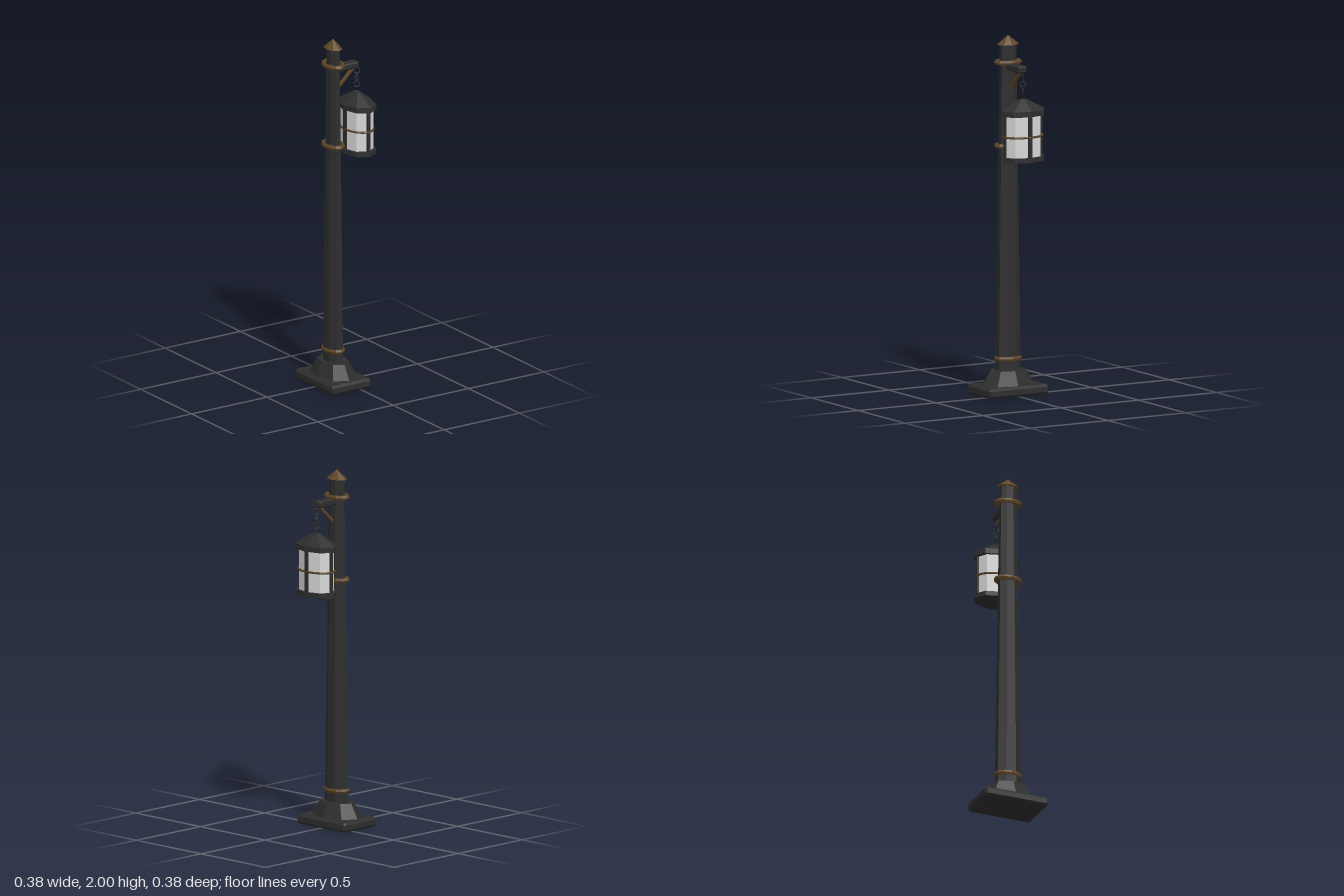
import * as THREE from 'three';
import { ConvexGeometry } from 'three/addons/geometries/ConvexGeometry.js';

const material = (name, color) => {
  const m = new THREE.MeshStandardMaterial({ color, flatShading: true });
  m.name = name;
  return m;
};

// Box with chamfered edges and corners
function chamferBox(w, h, d, b) {
  const pts = [];
  for (const x of [-1, 1]) for (const y of [-1, 1]) for (const z of [-1, 1]) {
    for (const k of [0, 1, 2]) {
      pts.push(new THREE.Vector3(
        x * (w / 2 - (k === 0 ? 0 : b)),
        y * (h / 2 - (k === 1 ? 0 : b)),
        z * (d / 2 - (k === 2 ? 0 : b))));
    }
  }
  return new ConvexGeometry(pts);
}

export function createModel() {
  const iron = material('dark iron', 0x2e2e2e);
  const brass = material('aged brass', 0x5e4626);
  const glass = material('frosted glass', 0xd8d8d8);
  const root = new THREE.Group();
  root.name = 'streetLamp';

  const POST_X = -0.061, LAMP_X = 0.097, SQUASH = 0.685;

  const add = (parent, name, geo, mat, x = 0, y = 0, z = 0) => {
    const mesh = new THREE.Mesh(geo, mat);
    mesh.name = name;
    mesh.position.set(x, y, z);
    parent.add(mesh);
    return mesh;
  };
  // Eight-sided drum between two heights
  const drum = (parent, name, mat, rTop, rBottom, y0, y1, turn = 0) =>
    add(parent, name, new THREE.CylinderGeometry(rTop, rBottom, y1 - y0, 8).rotateY(turn),
      mat, 0, (y0 + y1) / 2);

  // Narrow groups: round parts are squashed along x
  const squashed = (name, x) => {
    const g = new THREE.Group();
    g.name = name;
    g.position.x = x;
    g.scale.x = SQUASH;
    root.add(g);
    return g;
  };

  // Base and post
  const post = squashed('post', POST_X);
  add(root, 'plinth', chamferBox(0.258, 0.055, 0.38, 0.013), iron, POST_X, 0.0275);
  drum(post, 'pedestal', iron, 0.112, 0.164, 0.05, 0.136);
  drum(post, 'shaft', iron, 0.049, 0.076, 0.13, 1.952, Math.PI / 8);
  drum(post, 'cap', brass, 0, 0.068, 1.948, 2.0);

  // Brass collars
  for (const y of [0.2, 1.385, 1.85]) {
    add(post, 'collar', new THREE.TorusGeometry(0.07, 0.014, 6, 12).rotateX(Math.PI / 2), brass, 0, y);
  }

  // Arm and diagonal brace
  add(root, 'arm', chamferBox(0.156, 0.038, 0.054, 0.007), iron, 0.019, 1.826);
  const brace = add(root, 'brace', new THREE.BoxGeometry(0.145, 0.013, 0.018), brass, 0.021, 1.76);
  brace.rotation.z = Math.atan2(0.1, 0.105);

  // Hanging chain
  [1.786, 1.746, 1.708].forEach((y, i) => {
    const link = add(root, 'chainLink', new THREE.TorusGeometry(0.0165, 0.0035, 5, 10), iron, LAMP_X, y);
    link.rotation.y = i % 2 ? 0.5 : -0.5;
  });

  // Lantern
  const lantern = squashed('lantern', LAMP_X);
  drum(lantern, 'roof', iron, 0.026, 0.135, 1.605, 1.664);
  drum(lantern, 'roofRim', iron, 0.135, 0.135, 1.575, 1.605);
  drum(lantern, 'glass', glass, 0.114, 0.114, 1.34, 1.58);
  drum(lantern, 'floor', iron, 0.135, 0.135, 1.32, 1.346);
  for (let i = 0; i < 4; i++) {
    const a = i * Math.PI / 2;
    const bar = new THREE.BoxGeometry(0.024, 0.24, 0.02).translate(0, 0, 0.11).rotateY(a);
    add(lantern, 'frameBar', bar, iron, 0, 1.46);
  }
  add(lantern, 'band', new THREE.TorusGeometry(0.117, 0.0065, 5, 16).rotateX(Math.PI / 2), brass, 0, 1.46);

  return root;
}
